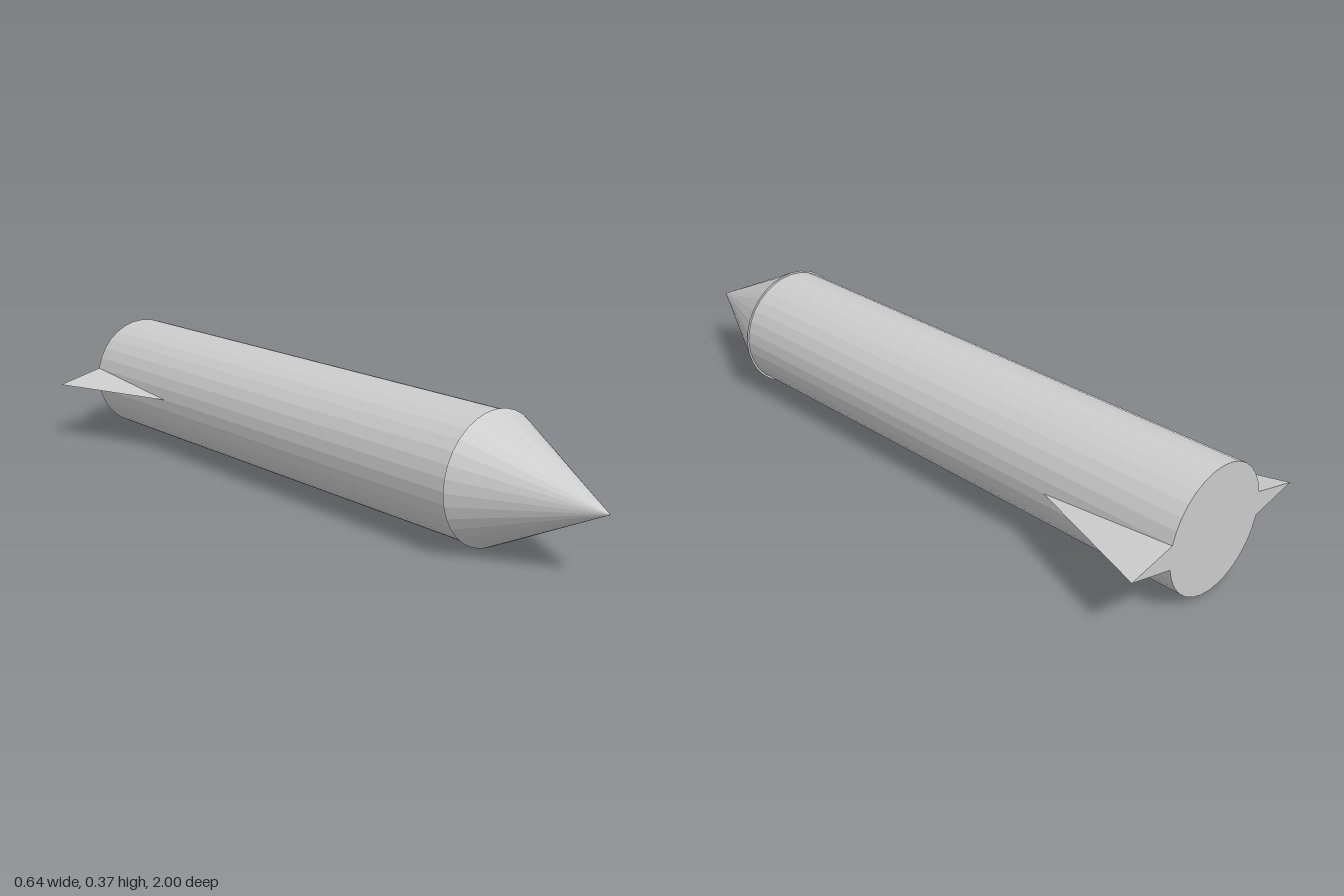
import * as THREE from 'three';
import { ConvexGeometry } from 'three/addons/geometries/ConvexGeometry.js';

const AXIS_Y = 0.185, SIDES = 32;
const material = new THREE.MeshStandardMaterial({ color: 0xcccccc, flatShading: true });

export function createModel() {
  const group = new THREE.Group();
  const add = (name, geometry) => {
    const mesh = new THREE.Mesh(geometry, material);
    mesh.name = name;
    mesh.position.y = AXIS_Y;
    group.add(mesh);
  };

  // Long cylindrical body, lying along z
  const tail = -1, shoulder = 0.63, tip = 1;
  add('body', new THREE.CylinderGeometry(0.178, 0.178, shoulder - tail, SIDES)
    .rotateX(Math.PI / 2).translate(0, 0, (shoulder + tail) / 2));

  // Nose cone, slightly wider than the body
  add('noseCone', new THREE.ConeGeometry(0.184, tip - shoulder, SIDES)
    .rotateX(Math.PI / 2).translate(0, 0, (tip + shoulder) / 2));

  // Pair of wedge fins, rooted just inside the body
  for (const [name, s] of [['leftFin', 1], ['rightFin', -1]]) {
    add(name, new ConvexGeometry([
      new THREE.Vector3(s * 0.177, 0, -0.6),
      new THREE.Vector3(s * 0.32, 0, tail),
      new THREE.Vector3(s * 0.15, 0.04, tail),
      new THREE.Vector3(s * 0.15, -0.04, tail),
    ]));
  }
  return group;
}
